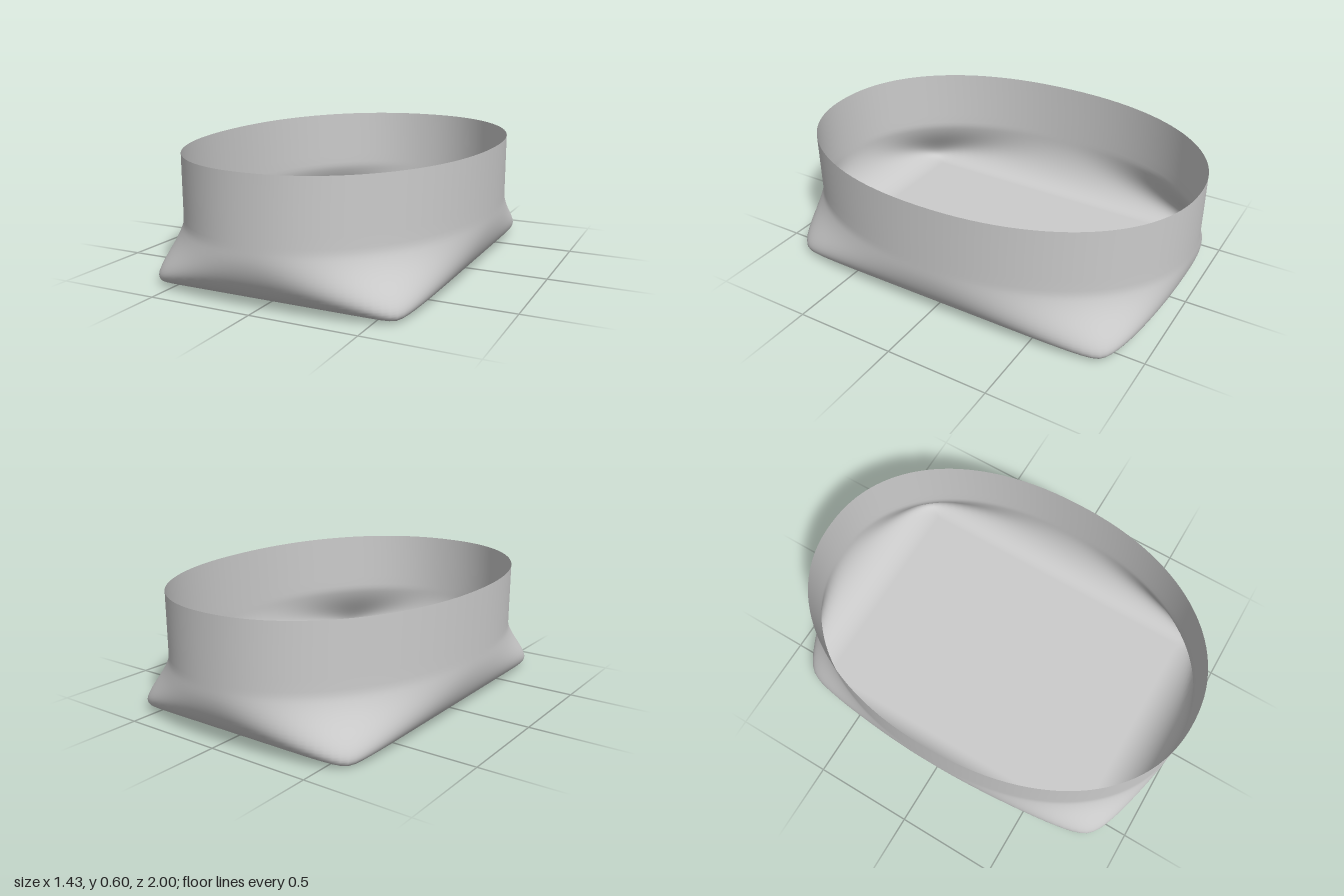
import * as THREE from 'three';

const SIDE = 32;          // segments along each side of a loop
const COUNT = SIDE * 4;

// Unit square perimeter, walked counter-clockwise as seen from above
function squarePoint(i) {
  const side = Math.floor(i / SIDE), t = -1 + 2 * (i % SIDE) / SIDE;
  return [[1, -t], [-t, -1], [-1, t], [t, 1]][side];
}

// One horizontal loop: a rectangle whose corners are rounded by exponent n
function addLoop(positions, a, b, y, n) {
  for (let i = 0; i < COUNT; i++) {
    const [u, v] = squarePoint(i);
    const r = Math.pow(Math.abs(u) ** n + Math.abs(v) ** n, -1 / n);
    positions.push(a * u * r, y, b * v * r);
  }
}

// The corners start square at the floor and soften to an oval higher up
function cornerExponent(y) {
  const s = Math.sin(Math.PI / 2 * Math.min(y / 0.3, 1)) ** 0.85;
  return Math.min(1000, -1 / Math.log2(1 - 0.275 * s - 1e-6));
}

function shellGeometry() {
  const positions = [], index = [];
  let loops = 0;
  const loop = (a, b, y, n) => { addLoop(positions, a, b, y, n); loops++; };

  // flat floor
  for (const k of [0.001, 0.5, 0.9]) loop(0.55 * k, 0.77 * k, 0, 1000);
  // rounded lower edge
  for (let j = 0; j <= 20; j++) {
    const phi = j / 20 * Math.PI / 2, y = 0.25 * (1 - Math.cos(phi));
    loop(0.55 + 0.167 * Math.sin(phi), 0.77 + 0.23 * Math.sin(phi), y, cornerExponent(y));
  }
  // upright wall
  for (const y of [0.265, 0.28, 0.3, 0.35, 0.45, 0.6]) loop(0.717, 1, y, cornerExponent(y));

  for (let j = 0; j < loops - 1; j++) {
    for (let i = 0; i < COUNT; i++) {
      const a = j * COUNT + i, b = j * COUNT + (i + 1) % COUNT;
      index.push(a, b, b + COUNT, a, b + COUNT, a + COUNT);
    }
  }
  // close the middle of the floor
  for (let i = 1; i < COUNT - 1; i++) index.push(0, i + 1, i);

  const geometry = new THREE.BufferGeometry();
  geometry.setAttribute('position', new THREE.Float32BufferAttribute(positions, 3));
  geometry.setIndex(index);
  geometry.computeVertexNormals();
  return geometry;
}

export function createModel() {
  const group = new THREE.Group();
  group.name = 'openTub';
  const material = new THREE.MeshStandardMaterial({ color: 0xcccccc, side: THREE.DoubleSide });
  const shell = new THREE.Mesh(shellGeometry(), material);
  shell.name = 'tubShell';
  group.add(shell);
  return group;
}
